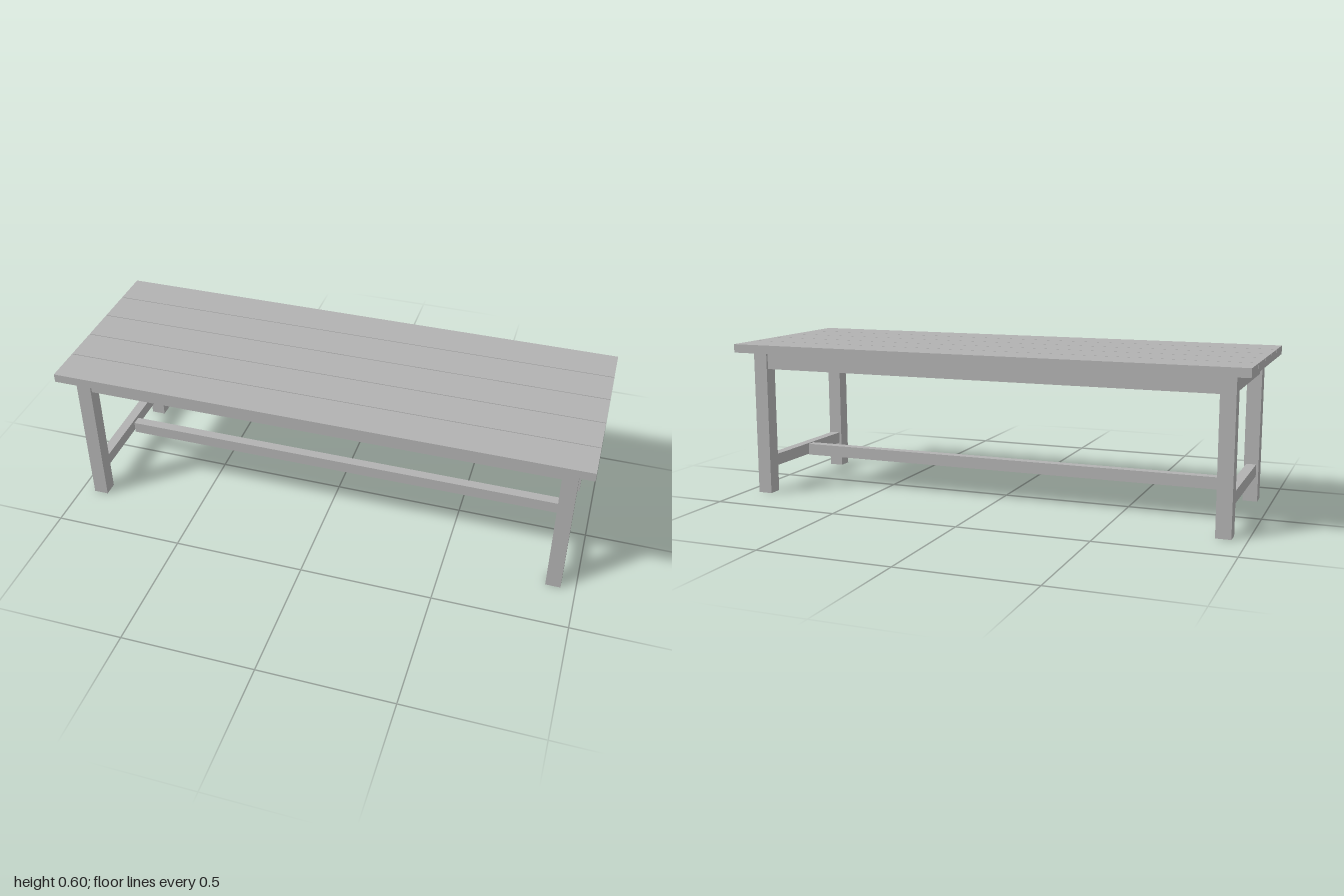
import * as THREE from 'three';

export function createModel() {
  const group = new THREE.Group();
  const wood = new THREE.MeshStandardMaterial({ color: 0xb2b2b2 });
  wood.name = 'grey wood';

  const LEG = 0.056, RAIL = 0.038;   // square leg side, rail thickness
  const LEG_X = 0.917, LEG_Z = 0.283; // leg centres
  const TOP = 0.6, UNDER = 0.567;     // upper and lower face of the tabletop

  // Box standing on the height y0 and reaching up to y1
  function addBox(name, width, depth, y0, y1, x, z) {
    const mesh = new THREE.Mesh(new THREE.BoxGeometry(width, y1 - y0, depth), wood);
    mesh.name = name;
    mesh.position.set(x, (y0 + y1) / 2, z);
    group.add(mesh);
  }

  // Tabletop of five planks with narrow gaps
  const pitch = 0.1459, plank = 0.1425;
  for (let i = -2; i <= 2; i++) addBox('topPlank', 2, plank, UNDER, TOP, 0, i * pitch);

  // Legs
  for (const sx of [-1, 1]) {
    for (const sz of [-1, 1]) addBox('leg', LEG, LEG, 0, UNDER, sx * LEG_X, sz * LEG_Z);
  }

  // Rails under the top and low stretchers, fitted between the legs
  const spanX = 2 * LEG_X - LEG, spanZ = 2 * LEG_Z - LEG;
  for (const s of [-1, 1]) {
    addBox('longApron', spanX, RAIL, 0.5, UNDER, 0, s * LEG_Z);
    addBox('endApron', RAIL, spanZ, 0.5, UNDER, s * LEG_X, 0);
    addBox('endStretcher', RAIL, spanZ, 0.101, 0.147, s * LEG_X, 0);
  }
  addBox('centreStretcher', spanX, RAIL, 0.101, 0.147, 0, 0);

  return group;
}
